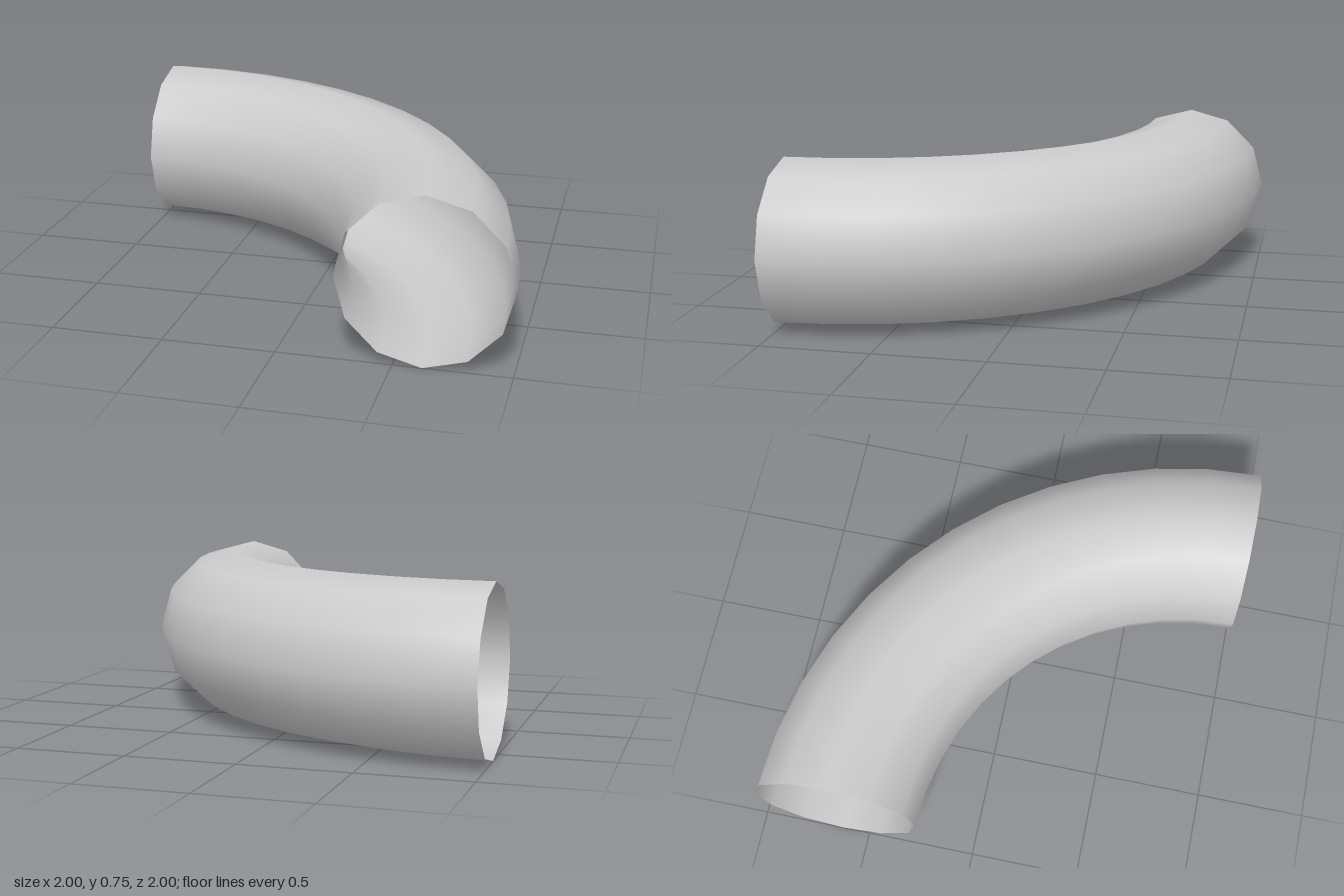
import * as THREE from 'three';

export function createModel() {
  const group = new THREE.Group();
  group.name = 'pipeElbow';

  const outerRadius = 2, innerRadius = 1.25;
  const bendRadius = (outerRadius + innerRadius) / 2;
  const pipeRadius = (outerRadius - innerRadius) / 2;

  // Open quarter bend: twelve sides around, twelve segments along
  const geometry = new THREE.TorusGeometry(bendRadius, pipeRadius, 12, 12, Math.PI / 2);
  geometry.rotateX(-Math.PI / 2); // lay it flat, sweeping from +x towards -z
  geometry.translate(-1, pipeRadius, 1);

  const material = new THREE.MeshStandardMaterial({ color: 0xcccccc, side: THREE.DoubleSide });
  const bend = new THREE.Mesh(geometry, material);
  bend.name = 'curvedPipe';
  group.add(bend);
  return group;
}
